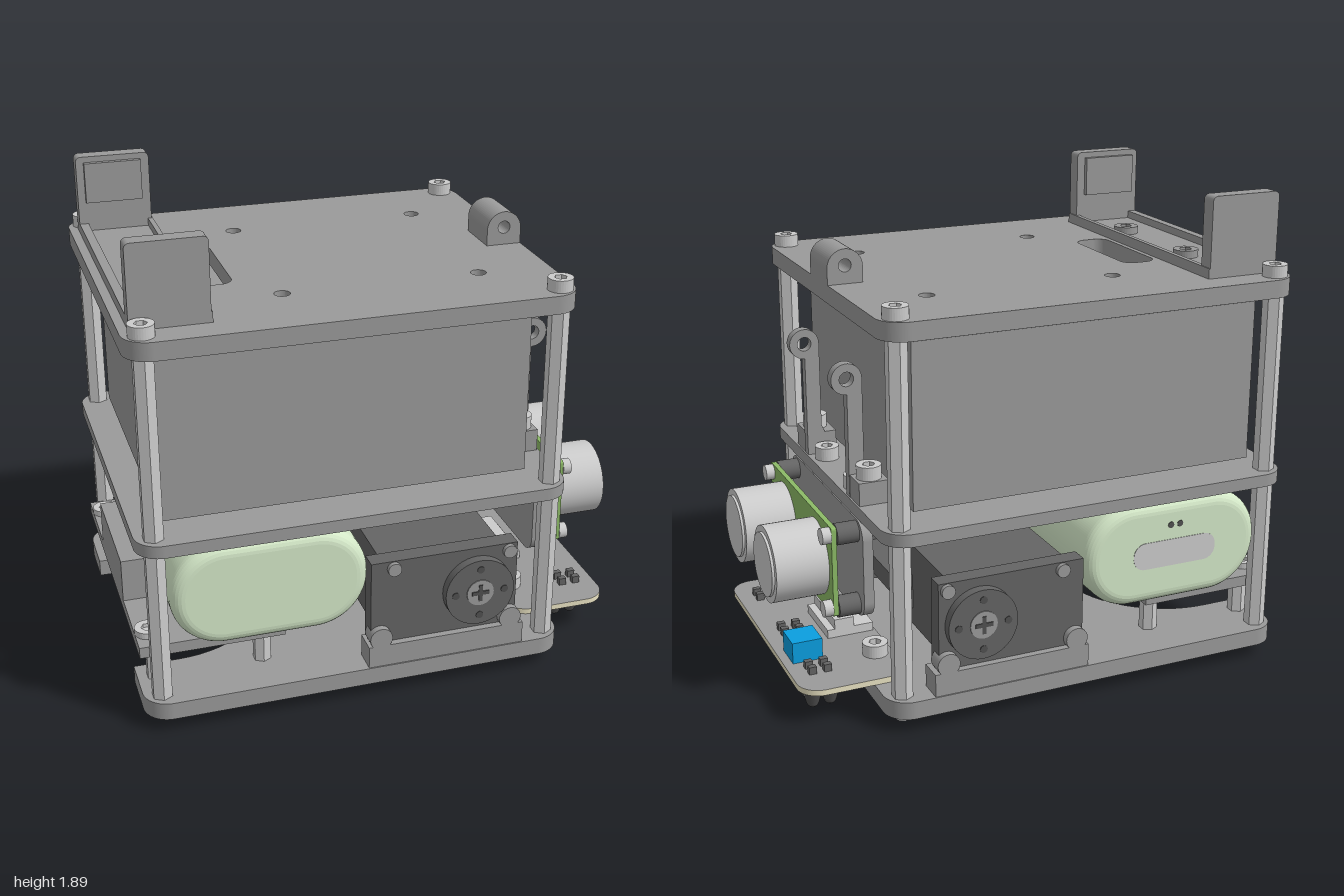
import * as THREE from 'three';

const mat = (c) => new THREE.MeshStandardMaterial({ color: c });

export function createModel() {
  const root = new THREE.Group();
  const grey = mat(0x9a9a9a), silver = mat(0xcccccc), dark = mat(0x646464), black = mat(0x505050);
  const mint = mat(0xd4e8c8), green = mat(0x8cba66), blue = mat(0x0a9ee0), beige = mat(0xe9e2c2);
  const facet = mat(0xcccccc);
  facet.flatShading = true;

  const add = (name, geo, m = grey) => {
    const mesh = new THREE.Mesh(geo, m);
    mesh.name = name;
    root.add(mesh);
    return mesh;
  };
  const box = (name, x0, x1, y0, y1, z0, z1, m) =>
    add(name, new THREE.BoxGeometry(x1 - x0, y1 - y0, Math.abs(z1 - z0))
      .translate((x0 + x1) / 2, (y0 + y1) / 2, (z0 + z1) / 2), m);
  // Cylinders along each axis, given start and end
  const cylY = (name, x, z, r, y0, y1, m, seg = 24) =>
    add(name, new THREE.CylinderGeometry(r, r, y1 - y0, seg).translate(x, (y0 + y1) / 2, z), m);
  const cylX = (name, y, z, r, x0, x1, m, seg = 24) =>
    add(name, new THREE.CylinderGeometry(r, r, x1 - x0, seg).rotateZ(Math.PI / 2).translate((x0 + x1) / 2, y, z), m);
  const cylZ = (name, x, y, r, z0, z1, m, seg = 24) =>
    add(name, new THREE.CylinderGeometry(r, r, Math.abs(z1 - z0), seg).rotateX(Math.PI / 2).translate(x, y, (z0 + z1) / 2), m);
  const hole = (shape, x, y, r) => {
    const p = new THREE.Path();
    p.absarc(x, y, r, 0, Math.PI * 2, true);
    shape.holes.push(p);
  };
  const roundRect = (a0, a1, b0, b1, r, S = THREE.Shape) => {
    const s = new S();
    s.absarc(a1 - r, b1 - r, r, 0, Math.PI / 2);
    s.absarc(a0 + r, b1 - r, r, Math.PI / 2, Math.PI);
    s.absarc(a0 + r, b0 + r, r, Math.PI, Math.PI * 1.5);
    s.absarc(a1 - r, b0 + r, r, Math.PI * 1.5, Math.PI * 2);
    s.closePath();
    return s;
  };
  const extrude = (shape, depth) => new THREE.ExtrudeGeometry(shape, { depth, bevelEnabled: false, curveSegments: 16 });
  // Horizontal plate drawn in (x, z)
  const plate = (name, shape, y0, y1, m) => add(name, extrude(shape, y1 - y0).rotateX(Math.PI / 2).translate(0, y1, 0), m);
  // Upright plate drawn in (-z, y), thickness along x
  const wall = (name, shape, x0, x1, m) => add(name, extrude(shape, x1 - x0).rotateY(Math.PI / 2).translate(x0, 0, 0), m);
  const socketScrew = (name, x, z, r, y0, y1, m = silver) => {
    const s = new THREE.Shape();
    s.absarc(x, z, r, 0, Math.PI * 2);
    const h = new THREE.Path();
    for (let i = 0; i <= 6; i++) {
      const a = -i * Math.PI / 3, p = [x + Math.cos(a) * r * 0.5, z + Math.sin(a) * r * 0.5];
      i ? h.lineTo(...p) : h.moveTo(...p);
    }
    s.holes.push(h);
    plate(name, s, y0, y1, m);
    cylY(name + 'Core', x, z, r * 0.6, y0, y0 + (y1 - y0) * 0.4, m, 12);
  };

  // Bottom deck with rear notch
  const base = new THREE.Shape();
  base.moveTo(-0.82, 0.42);
  base.absarc(-0.82, 0, 0.42, Math.PI / 2, -Math.PI / 2, true);
  base.lineTo(-1, -0.42);
  base.absarc(-0.9, -0.605, 0.1, Math.PI, Math.PI * 1.5);
  base.absarc(0.575, -0.605, 0.1, -Math.PI / 2, 0);
  base.absarc(0.575, 0.605, 0.1, 0, Math.PI / 2);
  base.absarc(-0.9, 0.605, 0.1, Math.PI / 2, Math.PI);
  base.lineTo(-1, 0.42);
  plate('bottomDeck', base, 0.06, 0.13);

  // Middle and top decks
  plate('middleDeck', roundRect(-1, 0.675, -0.705, 0.705, 0.1), 0.75, 0.8);
  const top = roundRect(-1, 0.675, -0.705, 0.705, 0.1);
  for (const x of [-0.37, 0.39]) for (const z of [-0.38, 0.38]) hole(top, x, z, 0.03);
  top.holes.push(roundRect(-0.65, -0.51, -0.23, 0.22, 0.05, THREE.Path));
  plate('topDeck', top, 1.51, 1.58);

  // Corner posts and their screws
  for (const x of [-0.93, 0.608]) for (const z of [-0.635, 0.635]) {
    cylY('cornerPost', x, z, 0.041, 0.13, 1.51, facet, 6);
    cylY('postBottomScrew', x, z, 0.025, 0.035, 0.06, silver);
    socketScrew('postTopScrew', x, z, 0.048, 1.58, 1.627);
  }

  // Battery box between the upper decks
  box('batteryBox', -0.89, 0.53, 0.83, 1.47, -0.575, 0.575);

  // Rear clip on the top deck
  box('clipFloor', -0.965, -0.675, 1.58, 1.59, -0.585, 0.585);
  box('clipRearRail', -0.965, -0.93, 1.58, 1.62, -0.585, 0.585);
  box('clipFrontRail', -0.69, -0.67, 1.58, 1.62, -0.585, 0.585);
  for (const s of [-1, 1]) {
    const w = roundRect(-0.965, -0.675, 1.58, 1.893, 0.02);
    add('clipWall', extrude(w, 0.065).translate(0, 0, s > 0 ? 0.52 : -0.585));
    box('clipPad', -0.935, -0.71, 1.71, 1.87, s * 0.5, s * 0.525);
    socketScrew('clipScrew', -0.77, s * 0.245, 0.05, 1.59, 1.62, grey);
  }

  // Pierced lug on the front edge of the top deck
  const lug = new THREE.Shape();
  lug.moveTo(0.535, 1.57);
  lug.lineTo(0.675, 1.57);
  lug.absarc(0.605, 1.643, 0.07, 0, Math.PI);
  hole(lug, 0.605, 1.65, 0.025);
  add('topLug', extrude(lug, 0.205).translate(0, 0, -0.1025));

  // Upright arms with ring ends
  for (const s of [-1, 1]) {
    const arm = new THREE.Shape();
    arm.moveTo(0.56, 0.8);
    arm.lineTo(0.67, 0.8);
    arm.lineTo(0.67, 1.21);
    arm.absarc(0.67, 1.265, 0.06, -Math.PI / 2, Math.PI);
    arm.lineTo(0.61, 0.92);
    hole(arm, 0.67, 1.265, 0.028);
    add('ringArm', extrude(arm, 0.04).translate(0, 0, s * 0.255 - 0.02));
    box('armFoot', 0.55, 0.668, 0.8, 0.89, s * 0.235, s * 0.38);
    socketScrew('armOuterScrew', 0.61, s * 0.325, 0.048, 0.89, 0.943);
    socketScrew('armInnerScrew', 0.61, s * 0.175, 0.048, 0.8, 0.853);
  }

  // Rounded pod lying across the lower bay
  const b = 0.05;
  const pod = add('pod', new THREE.ExtrudeGeometry(roundRect(-0.885 + b, -0.13 - b, 0.33 + b, 0.75 - b, 0.155), {
    depth: 1.37 - 2 * b, bevelSize: b, bevelThickness: b, bevelSegments: 6, curveSegments: 20 }), mint);
  pod.geometry.translate(0, 0, -0.685 + b);
  const port = roundRect(-0.69, -0.33, 0.48, 0.59, 0.05);
  add('podPort', extrude(port, 0.01).translate(0, 0, -0.687), silver);
  for (const x of [-0.53, -0.49]) cylZ('podDot', x, 0.65, 0.013, -0.687, -0.675, black, 12);

  // Rear bracket under the pod
  box('bracketShelf', -1, -0.44, 0.28, 0.325, -0.6, 0.6);
  const stop = new THREE.Shape();
  [[-1, 0.31], [-0.82, 0.31], [-0.87, 0.4], [-0.9, 0.5], [-1, 0.5]].forEach((p, i) => i ? stop.lineTo(...p) : stop.moveTo(...p));
  add('bracketStop', extrude(stop, 0.5).translate(0, 0, -0.25));
  for (const s of [-1, 1]) {
    for (const x of [-0.93, -0.51]) {
      cylY('bracketStandoff', x, s * 0.5, 0.036, 0.13, 0.28, facet, 6);
      cylY('standoffScrew', x, s * 0.5, 0.028, 0.04, 0.06, silver);
    }
    socketScrew('bracketScrew', -0.95, s * 0.5, 0.05, 0.325, 0.35);
  }

  // Mirrored servo drives with round horns
  for (const s of [-1, 1]) {
    box('servoRail', -0.135, 0.5, 0.13, 0.22, s * 0.6, s * 0.7);
    box('servoBody', -0.07, 0.42, 0.22, 0.56, s * 0.26, s * 0.67, dark);
    box('servoFlange', -0.12, 0.475, 0.22, 0.57, s * 0.6, s * 0.672, dark);
    cylZ('servoHorn', 0.31, 0.395, 0.14, s * 0.67, s * 0.71, dark, 40);
    cylZ('hornHub', 0.31, 0.395, 0.055, s * 0.7, s * 0.714, grey);
    box('hornCross', 0.275, 0.345, 0.387, 0.403, s * 0.71, s * 0.718, black);
    box('hornCross', 0.302, 0.318, 0.36, 0.43, s * 0.71, s * 0.718, black);
    for (let i = 0; i < 4; i++) {
      const a = i * Math.PI / 2;
      cylZ('hornPin', 0.31 + 0.1 * Math.cos(a), 0.395 + 0.1 * Math.sin(a), 0.015, s * 0.7, s * 0.713, black, 12);
    }
    for (const x of [-0.03, 0.44]) cylZ('servoUpperScrew', x, 0.54, 0.027, s * 0.66, s * 0.69, grey);
    for (const x of [-0.085, 0.445]) cylZ('servoLowerBolt', x, 0.25, 0.045, s * 0.63, s * 0.7, grey);
    for (const x of [0, 0.36]) cylY('deckScrew', x, s * 0.46, 0.05, 0.042, 0.06, silver);
    socketScrew('boardScrew', 0.6, s * 0.32, 0.05, 0.155, 0.205);
    box('crossLeg', 0.3, 0.42, 0.22, 0.3, s * 0.2, s * 0.26, dark);
  }
  // Cross block between the drives
  box('crossBlock', 0.15, 0.45, 0.29, 0.37, -0.27, 0.27, dark);

  // Front range sensor: holder, board, two cans
  wall('sensorHolder', roundRect(-0.44, 0.44, 0.36, 0.75, 0.07), 0.64, 0.68);
  wall('sensorBoard', roundRect(-0.39, 0.39, 0.375, 0.735, 0.01), 0.765, 0.785, green);
  for (const s of [-1, 1]) {
    for (const y of [0.405, 0.7]) {
      cylX('sensorSpacer', y, s * 0.365, 0.042, 0.67, 0.765, dark);
      cylX('sensorScrew', y, s * 0.365, 0.032, 0.785, 0.82, silver);
    }
    cylX('sensorCan', 0.555, s * 0.205, 0.15, 0.785, 0.99, silver, 48);
    cylX('sensorCanFace', 0.555, s * 0.205, 0.125, 0.98, 1, silver, 48);
  }
  for (let i = 0; i < 4; i++) box('sensorPin', 0.69, 0.77, 0.45, 0.46, -0.08 + i * 0.05, -0.065 + i * 0.05, silver);

  // Low front board with connectors and floor sensors
  plate('floorBoard', roundRect(0.53, 0.955, -0.525, 0.525, 0.09), 0.132, 0.155, [grey, beige]);
  box('blueTrimmer', 0.8, 0.92, 0.155, 0.24, -0.28, -0.155, blue);
  box('pinSocket', 0.54, 0.73, 0.155, 0.19, -0.13, 0.13, silver);
  box('pinSocketBack', 0.62, 0.7, 0.19, 0.23, -0.13, 0.13, silver);
  for (const z of [-0.355, 0, 0.355]) {
    box('floorSensor', 0.75, 0.92, 0.075, 0.132, z - 0.045, z + 0.045, black);
    for (const x of [0.8, 0.87]) {
      const lens = new THREE.CylinderGeometry(0.042, 0.025, 0.06, 16);
      add('floorSensorLens', lens.translate(x, 0.05, z), black);
      add('lensTip', new THREE.SphereGeometry(0.025, 16, 8).translate(x, 0.025, z), black);
    }
    for (const dz of [-0.025, 0.025]) for (const x of [0.8, 0.86])
      box('boardChip', x, x + 0.03, 0.155, 0.185, z + dz - 0.012, z + dz + 0.012, dark);
  }
  return root;
}
